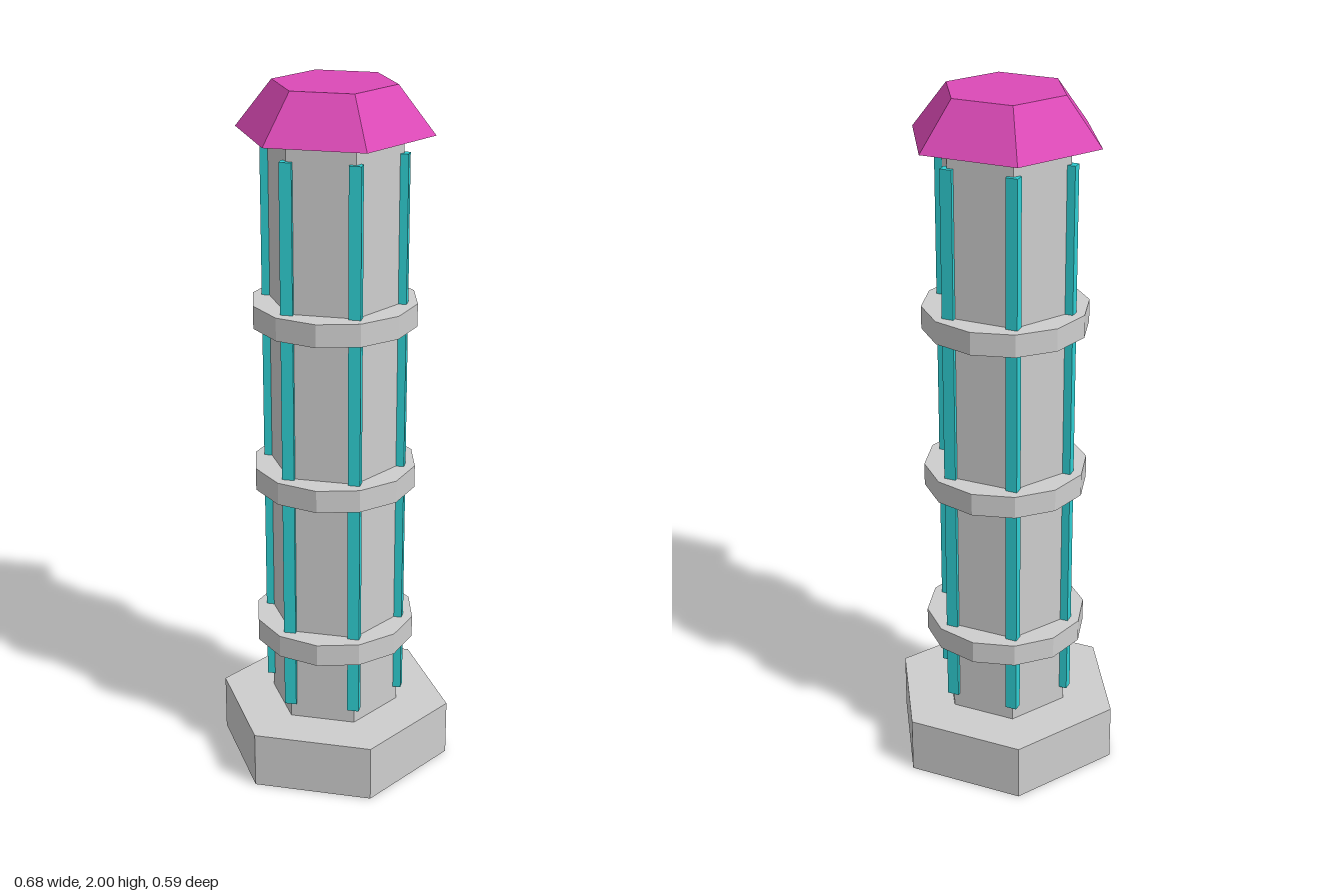
import * as THREE from 'three';

export function createModel() {
  const model = new THREE.Group();
  model.name = 'tower';

  const material = (name, color) => {
    const m = new THREE.MeshStandardMaterial({ color });
    m.name = name;
    return m;
  };
  const grey = material('stone grey', 0xcecece);
  const magenta = material('cap magenta', 0xdc4ab7);
  const teal = material('strip teal', 0x2fd0d4);

  // Faceted prism between two heights, with a corner on the x axis
  const prism = (name, mat, sides, rBottom, rTop, y0, y1) => {
    const geo = new THREE.CylinderGeometry(rTop, rBottom, y1 - y0, sides)
      .rotateY(Math.PI / 6)
      .toNonIndexed();
    geo.computeVertexNormals();
    const mesh = new THREE.Mesh(geo, mat);
    mesh.name = name;
    mesh.position.y = (y0 + y1) / 2;
    model.add(mesh);
  };

  prism('base', grey, 6, 0.341, 0.341, 0, 0.165);
  prism('shaft', grey, 6, 0.188, 0.188, 0.165, 1.87);
  prism('cap', magenta, 6, 0.273, 0.171, 1.87, 2);

  // Twelve-sided bands around the shaft
  [0.413, 0.893, 1.373].forEach((y, i) => {
    prism('band' + (i + 1), grey, 12, 0.232, 0.232, y - 0.0325, y + 0.0325);
  });

  // Upright strips, all square to the axes, one on each shaft corner
  const stripGeo = new THREE.BoxGeometry(0.034, 1.61, 0.027);
  for (let i = 0; i < 6; i++) {
    const a = (i * Math.PI) / 3;
    const strip = new THREE.Mesh(stripGeo, teal);
    strip.name = 'strip' + (i + 1);
    strip.position.set(0.186 * Math.cos(a), 1.015, 0.186 * Math.sin(a));
    model.add(strip);
  }

  return model;
}
